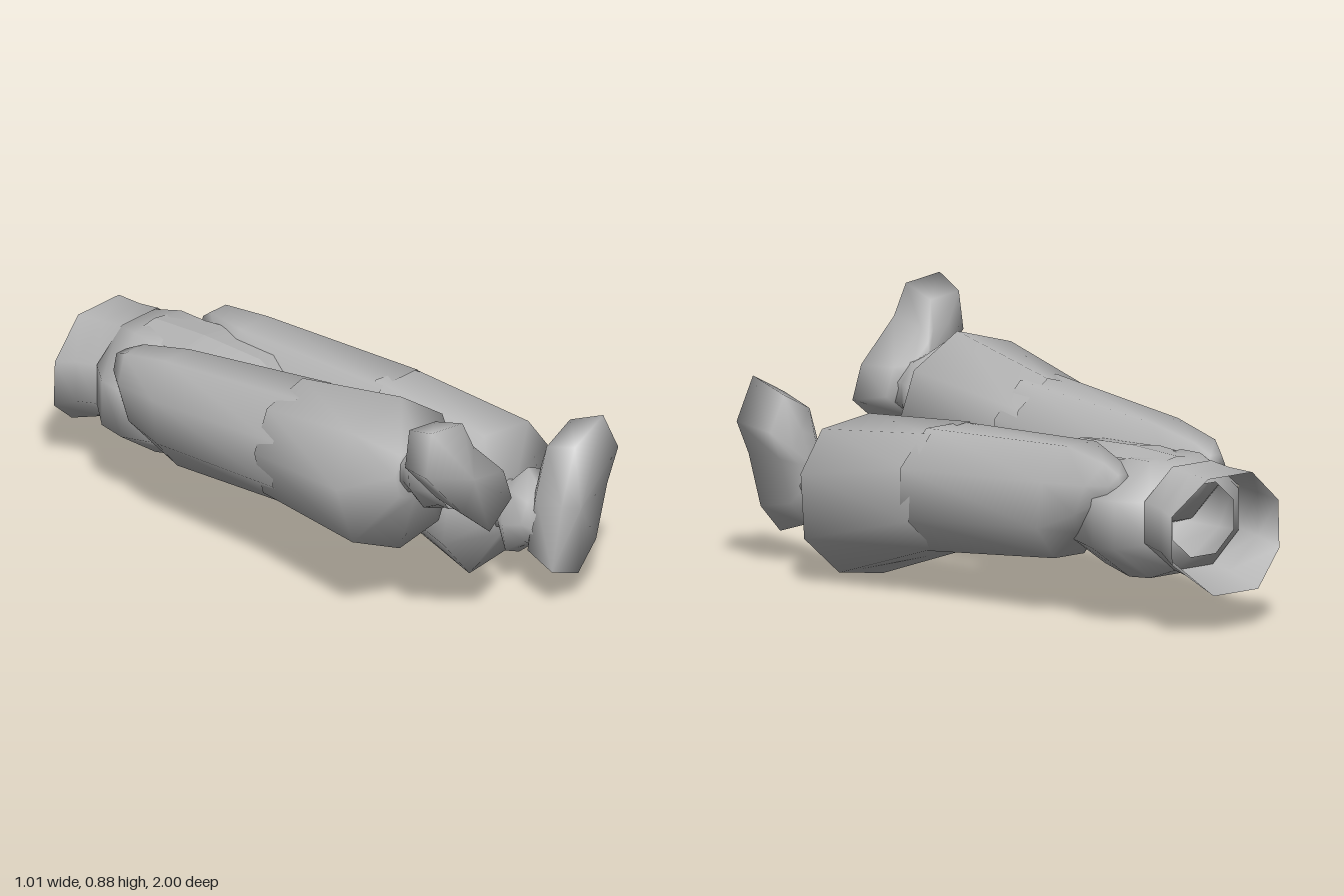
import * as THREE from 'three';

const grey = new THREE.MeshStandardMaterial({ color: 0xb4b4b4, side: THREE.DoubleSide });
grey.name = 'plain grey';

// Eight-sided cross-section; skew leans the ring along z by height, turn rotates it
function oval(z, cx, cy, rx, ry, skew = 0, turn = 0) {
  const pts = [], c = Math.cos(turn), s = Math.sin(turn);
  for (let i = 0; i < 8; i++) {
    const a = (i + 0.5) * Math.PI / 4;
    const x = Math.cos(a) * rx / 0.924, y = Math.sin(a) * ry / 0.924;
    pts.push([cx + x * c - y * s, cy + x * s + y * c, z - skew * y]);
  }
  return pts;
}

// Outline scaled about a centre and moved to a depth; tilt leans it along x and y
function scaled(outline, z, [fx, fy], s, [tx, ty] = [fx, fy], [kx, ky] = [0, 0]) {
  return outline.map(([x, y]) => {
    const dx = (x - fx) * s, dy = (y - fy) * s;
    return [tx + dx, ty + dy, z + kx * dx + ky * dy];
  });
}

// Smooth skin through rings that run towards +z
function loft(name, rings) {
  const n = rings[0].length, index = [];
  for (let i = 0; i < rings.length - 1; i++) {
    for (let j = 0; j < n; j++) {
      const a = i * n + j, b = i * n + (j + 1) % n;
      index.push(a, b, b + n, a, b + n, a + n);
    }
  }
  const geo = new THREE.BufferGeometry();
  geo.setAttribute('position', new THREE.Float32BufferAttribute(rings.flat(2), 3));
  geo.setIndex(index);
  geo.computeVertexNormals();
  const mesh = new THREE.Mesh(geo, grey);
  mesh.name = name;
  return mesh;
}

const legs = [
  {
    side: 'left', tilt: [0, 0.13], centre: [0.25, 0.27], top: [0.248, 0.36],
    seam: 0.16, seamScale: 0.81, flare: 0.625,
    cuff: [[0.495, 0.375], [0.38, 0.51], [0.16, 0.535], [0.005, 0.36],
      [0.005, 0.175], [0.16, 0.005], [0.36, 0.03], [0.505, 0.16]],
    thigh: [[-0.645, 0.26, 0.455, 0.05, 0.06, 0.4], [-0.56, 0.262, 0.425, 0.092, 0.125, 0.5],
      [-0.39, 0.213, 0.388, 0.165, 0.193, 0.15], [0.2, 0.25, 0.36, 0.206, 0.207]],
    ankle: [0.23, 0.275], turn: -0.4,
    foot: [[0.395, 0.385], [0.45, 0.5], [0.375, 0.645], [0.235, 0.575],
      [0.17, 0.38], [0.12, 0.155], [0.25, 0.105], [0.34, 0.2]],
    instep: [0.26, 0.34],
  },
  {
    side: 'right', tilt: [0.12, -0.08], centre: [-0.215, 0.515], top: [-0.176, 0.475],
    seam: 0.12, seamScale: 0.79, flare: 0.605,
    cuff: [[-0.005, 0.665], [-0.175, 0.78], [-0.4, 0.72], [-0.48, 0.54],
      [-0.425, 0.335], [-0.225, 0.25], [-0.05, 0.295], [0.045, 0.49]],
    thigh: [[-0.645, -0.16, 0.455, 0.06, 0.075, 0.4], [-0.55, -0.175, 0.425, 0.115, 0.14, 0.4],
      [-0.38, -0.18, 0.425, 0.147, 0.184, 0.15], [0.2, -0.178, 0.475, 0.202, 0.2]],
    ankle: [-0.23, 0.565], turn: 0.64,
    foot: [[-0.12, 0.62], [-0.27, 0.765], [-0.325, 0.87], [-0.48, 0.888],
      [-0.505, 0.73], [-0.32, 0.53], [-0.19, 0.42], [-0.08, 0.505]],
    instep: [-0.27, 0.64],
  },
];

function buildLeg(p) {
  const leg = new THREE.Group();
  leg.name = p.side + 'Leg';
  const [ax, ay] = p.ankle;
  // Thigh with a slanted, closed upper end
  const t0 = p.thigh[0];
  leg.add(loft('thigh', [oval(t0[0] - 0.015, t0[1], t0[2], 0, 0), ...p.thigh.map((r) => oval(...r))]));
  // Flared lower trouser, drawn in around the ankle
  leg.add(loft('flaredTrouser', [
    scaled(p.cuff, p.seam, p.centre, p.seamScale, p.top),
    scaled(p.cuff, p.flare, p.centre, 1, p.centre, p.tilt),
    scaled(p.cuff, 0.7, p.centre, 0.38, p.ankle),
    scaled(p.cuff, 0.69, p.centre, 0, p.ankle),
  ]));
  // Pinched ankle, longer along the foot
  const ankleRings = [[0.67, 0.075, 0.09], [0.71, 0.065, 0.08], [0.77, 0.09, 0.145],
    [0.83, 0.07, 0.095], [0.88, 0.07, 0.095]];
  leg.add(loft('ankle', ankleRings.map(([z, rx, ry]) => oval(z, ax, ay, rx, ry, 0, p.turn))));
  // Foot with its sole facing forward
  leg.add(loft('foot', [
    scaled(p.foot, 0.825, p.instep, 0),
    scaled(p.foot, 0.83, p.instep, 0.45),
    scaled(p.foot, 0.865, p.instep, 0.83),
    scaled(p.foot, 0.995, p.instep, 1),
    scaled(p.foot, 1, p.instep, 0),
  ]));
  return leg;
}

export function createModel() {
  const model = new THREE.Group();
  model.name = 'trouserLegs';
  legs.forEach((p) => model.add(buildLeg(p)));

  // Hips, open at the waist and closed between the thighs
  model.add(loft('hips', [
    oval(-0.84, 0.055, 0.36, 0.14, 0.12), oval(-0.8, 0.055, 0.365, 0.2, 0.17),
    oval(-0.7, 0.05, 0.355, 0.28, 0.197), oval(-0.6, 0.045, 0.35, 0.29, 0.2),
    oval(-0.46, 0.04, 0.345, 0.25, 0.17), oval(-0.41, 0.04, 0.35, 0.15, 0.1),
    oval(-0.4, 0.04, 0.35, 0, 0),
  ]));

  // Open waistband, its rim reaching furthest at the bottom
  const rim = oval(0, 0.055, 0.33, 0.245, 0.195).map(([x, y]) => {
    const dy = y - 0.33;
    return [x, y, -0.94 - (dy < 0 ? 1.55 : 0.8) * dy * dy];
  });
  model.add(loft('waistband', [rim, oval(-0.87, 0.055, 0.355, 0.222, 0.175),
    oval(-0.785, 0.055, 0.37, 0.215, 0.172)]));

  // Ridged cloth flap between the thighs, sloping down to a point
  const rows = [[-0.72, 0.1, 0.558], [-0.5, 0.128, 0.568], [-0.495, 0.105, 0.568],
    [-0.25, 0.105, 0.56], [-0.06, 0.005, 0.46]];
  for (const s of [-1, 1]) {
    const pts = rows.map(([z, w, y]) => [[0.055, y, z], [0.055 + s * w, y - w * 0.15, z]]);
    const geo = new THREE.BufferGeometry(), index = [];
    for (let i = 0; i < rows.length - 1; i++) {
      const a = i * 2;
      if (s > 0) index.push(a, a + 2, a + 1, a + 1, a + 2, a + 3);
      else index.push(a, a + 1, a + 2, a + 1, a + 3, a + 2);
    }
    geo.setAttribute('position', new THREE.Float32BufferAttribute(pts.flat(2), 3));
    geo.setIndex(index);
    geo.computeVertexNormals();
    const half = new THREE.Mesh(geo, grey);
    half.name = s > 0 ? 'leftFlap' : 'rightFlap';
    model.add(half);
  }
  return model;
}
